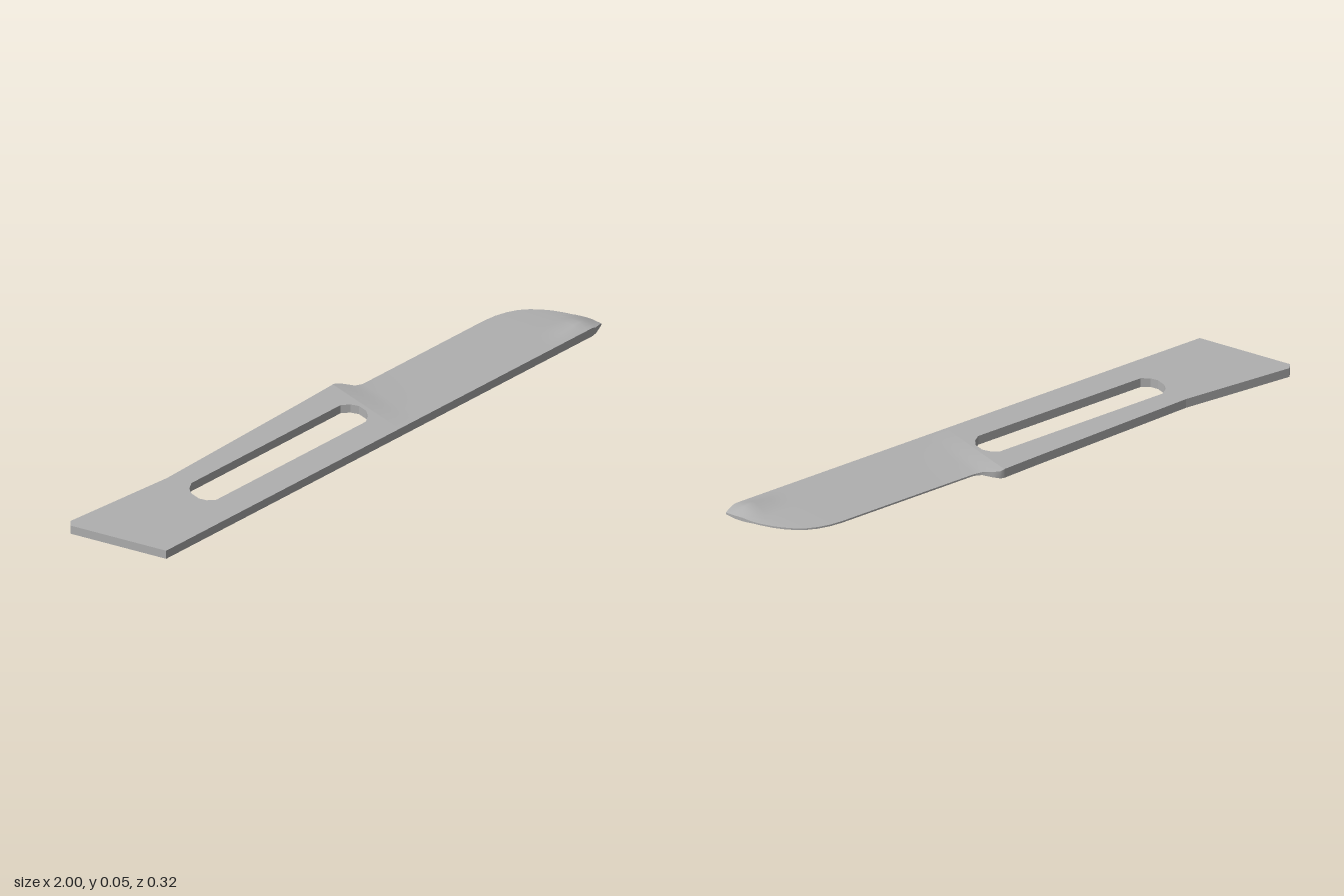
import * as THREE from 'three';
import { toCreasedNormals } from 'three/addons/utils/BufferGeometryUtils.js';

const MID = 0.028, HALF = 0.016, EDGE = 0.003, JOIN = 0.13;
const steel = new THREE.MeshStandardMaterial({ color: 0xb0b0b0 });
steel.name = 'steel';

// Piecewise-linear lookup through [x, value] pairs
function along(points, x) {
  for (let i = 1; i < points.length; i++) {
    const [x0, v0] = points[i - 1], [x1, v1] = points[i];
    if (x <= x1) return v0 + (v1 - v0) * Math.max(0, (x - x0) / (x1 - x0));
  }
  return points[points.length - 1][1];
}

// Flat slotted shank, drawn in plan (x, z) and extruded to its thickness
function shankGeometry() {
  const toPlan = ([x, z]) => new THREE.Vector2(x, -z);
  const shape = new THREE.Shape([
    [-0.862, 0.16], [JOIN, 0.16], [JOIN, -0.16], [0, -0.154], [-0.6, -0.132],
    [-0.983, -0.162], [-1, -0.143],
  ].map(toPlan));
  shape.holes.push(new THREE.Path([
    [-0.56, -0.06], [0.075, -0.06], [0.1, -0.042], [0.115, -0.018],
    [0.115, 0.018], [0.1, 0.042], [0.075, 0.06], [-0.56, 0.06],
    [-0.585, 0.042], [-0.597, 0.018], [-0.597, -0.018], [-0.585, -0.042],
  ].map(toPlan)));
  const geo = new THREE.ExtrudeGeometry(shape, { depth: HALF * 2, bevelEnabled: false });
  return geo.rotateX(-Math.PI / 2).translate(0, MID - HALF, 0);
}

// Wedge blade: closed cross-sections lofted along x, thick spine to thin edge
function bladeGeometry() {
  const cutting = [
    [JOIN, -0.161], [0.145, -0.16], [0.165, -0.145], [0.188, -0.12], [0.215, -0.112],
    [0.73, -0.112], [0.775, -0.108], [0.815, -0.098], [0.85, -0.083], [0.88, -0.062],
    [0.907, -0.036], [0.93, -0.008], [0.95, 0.023], [0.968, 0.057], [0.99, 0.11], [1, 0.147],
  ];
  const spine = [[JOIN, 0.16], [0.965, 0.16], [1, 0.147]];
  const spineHalf = [[JOIN, HALF], [0.95, HALF], [1, EDGE]];
  const cuttingHalf = [[JOIN, HALF], [0.2, EDGE], [1, EDGE]];
  const swellX = [[0.82, 0], [0.93, 1], [1, 0]];
  const swellZ = [[0.05, 0], [0.12, 1], [0.16, 0]];

  const stations = cutting.map(p => p[0]).concat([0.35, 0.5, 0.62, 0.965, 0.98]).sort((a, b) => a - b);
  const rows = 20, ring = 2 * (rows + 1);
  const positions = [], index = [];
  for (const x of stations) {
    const section = [];
    for (let j = 0; j <= rows; j++) {
      const u = j / rows;
      const z = THREE.MathUtils.lerp(along(spine, x), along(cutting, x), u);
      const wedge = THREE.MathUtils.lerp(along(spineHalf, x), along(cuttingHalf, x), u);
      // Swelling beside the tip
      const swell = along(swellX, x) * along(swellZ, z);
      section.push([z, wedge + (0.027 - wedge) * swell]);
    }
    for (const [z, h] of section) positions.push(x, MID + h, z);
    for (const [z, h] of section.reverse()) positions.push(x, MID - h, z);
  }
  for (let i = 0; i < stations.length - 1; i++) {
    for (let j = 0; j < ring; j++) {
      const k = (j + 1) % ring;
      const a = i * ring + j, b = a + ring, c = (i + 1) * ring + k, d = i * ring + k;
      index.push(a, b, c, a, c, d);
    }
  }
  const geo = new THREE.BufferGeometry();
  geo.setAttribute('position', new THREE.Float32BufferAttribute(positions, 3));
  geo.setIndex(index);
  return toCreasedNormals(geo, 0.6);
}

export function createModel() {
  const model = new THREE.Group();
  model.name = 'scalpelBlade';
  const parts = { slottedShank: shankGeometry(), cuttingBlade: bladeGeometry() };
  for (const [name, geometry] of Object.entries(parts)) {
    const mesh = new THREE.Mesh(geometry, steel);
    mesh.name = name;
    model.add(mesh);
  }
  return model;
}
